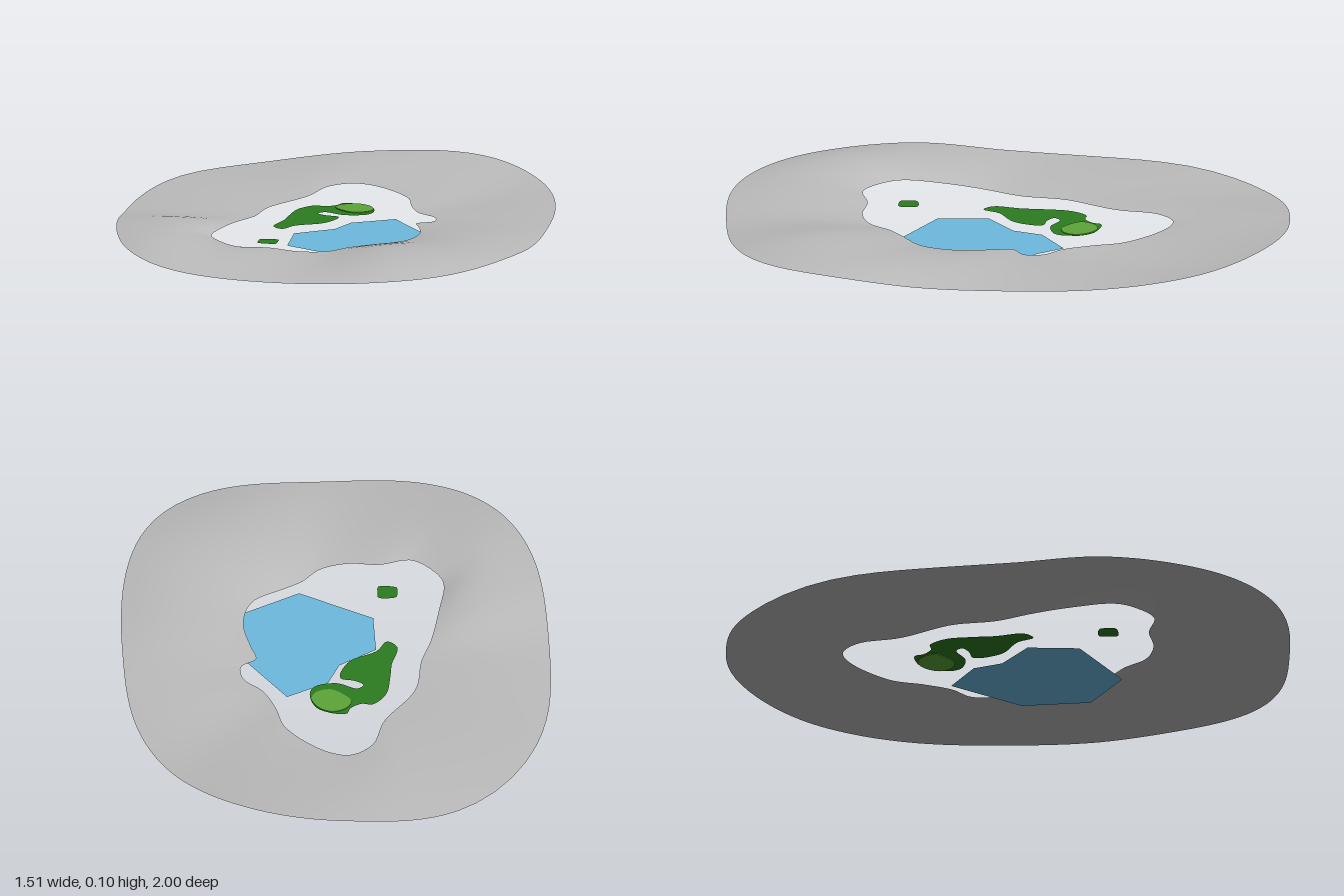
import * as THREE from 'three';

const material = (name, color) => {
  const m = new THREE.MeshStandardMaterial({ color, side: THREE.DoubleSide });
  m.name = name;
  return m;
};

// Closed smooth outline through [x, z] points
const smooth = (points, n) => {
  const curve = new THREE.CatmullRomCurve3(points.map(([x, z]) => new THREE.Vector3(x, 0, z)), true);
  return curve.getPoints(n).slice(0, n).map(p => [p.x, p.z]);
};

// Flat patch lying in the ground plane; [x, z] outline
const toShape = points => new THREE.Shape(points.map(([x, z]) => new THREE.Vector2(x, -z)));
const patch = (name, points, y, mat) => {
  const mesh = new THREE.Mesh(new THREE.ShapeGeometry(toShape(points)).rotateX(-Math.PI / 2), mat);
  mesh.position.y = y;
  mesh.name = name;
  return mesh;
};

// Periodic cubic interpolation of a table of heights around the ring
const around = (table, angle) => {
  const n = table.length, t = ((angle / (2 * Math.PI)) * n + n) % n;
  const i = Math.floor(t), f = t - i;
  const [a, b, c, d] = [-1, 0, 1, 2].map(k => table[(i + k + n) % n]);
  return b + 0.5 * f * (c - a + f * (2 * a - 5 * b + 4 * c - d + f * (3 * (b - c) + d - a)));
};

const holeEdge = [
  [-0.02, -0.585], [0.07, -0.555], [0.2, -0.41], [0.23, -0.29], [0.27, -0.19], [0.335, -0.12],
  [0.34, -0.05], [0.285, -0.01], [0.3, 0.06], [0.32, 0.19], [0.28, 0.31], [0.165, 0.38],
  [0.1, 0.42], [0.03, 0.49], [-0.07, 0.515], [-0.18, 0.495], [-0.29, 0.51], [-0.36, 0.45],
  [-0.4, 0.37], [-0.375, 0.21], [-0.34, 0.06], [-0.3, -0.05], [-0.27, -0.21], [-0.15, -0.39],
  [-0.1, -0.53],
];

// Heights in equal angular steps from +x, turning towards +z
const innerHeights = [0.033, 0.045, 0.043, 0.058, 0.033, 0.025, 0.03, 0.025];
const middleHeights = [
  0.04, 0.062, 0.08, 0.088, 0.052, 0.07, 0.095, 0.082,
  0.043, 0.033, 0.03, 0.03, 0.045, 0.04, 0.022, 0.03,
];
const rimHeights = [
  0.036, 0.045, 0.068, 0.058, 0.045, 0.055, 0.075, 0.08,
  0.047, 0.027, 0.024, 0.017, 0.05, 0.07, 0.048, 0.035,
];

// Wavy ring of ground between the hole edge and an oval rim
function groundRing(mat) {
  const N = 144, M = 10, pos = [], index = [];
  for (const [x, z] of smooth(holeEdge, N)) {
    const angle = Math.atan2(z, x), r0 = Math.hypot(x, z);
    const c = Math.cos(angle), s = Math.sin(angle);
    const p = 2.7 + 0.28 * s; // squarer towards the front
    const r1 = Math.pow(Math.pow(Math.abs(c) / 0.757, p) + Math.pow(Math.abs(s), p), -1 / p);
    const [a, m, b] = [innerHeights, middleHeights, rimHeights].map(t => around(t, angle));
    for (let j = 0; j <= M; j++) {
      const t = j / M, r = r0 + (r1 - r0) * t;
      const y = a * (1 - t) * (1 - 2 * t) + m * 4 * t * (1 - t) + b * t * (2 * t - 1);
      pos.push(c * r, y, s * r);
    }
  }
  for (let i = 0; i < N; i++) {
    for (let j = 0; j < M; j++) {
      const a = i * (M + 1) + j, b = ((i + 1) % N) * (M + 1) + j;
      index.push(a, b + 1, a + 1, a, b, b + 1);
    }
  }
  const geometry = new THREE.BufferGeometry();
  geometry.setAttribute('position', new THREE.Float32BufferAttribute(pos, 3));
  geometry.setIndex(index);
  geometry.computeVertexNormals();
  const mesh = new THREE.Mesh(geometry, mat);
  mesh.name = 'groundRing';
  return mesh;
}

export function createModel() {
  const group = new THREE.Group();
  const stone = material('stone grey', 0xbcbcbc);
  const water = material('water blue', 0x6cbade);
  const darkGreen = material('dark green', 0x2c7d20);
  const lightGreen = material('light green', 0x5da537);

  group.add(groundRing(stone));

  // Angular lake at the lowest level, tucked under the ring on the left side
  group.add(patch('lake', [
    [-0.145, 0.065], [-0.01, -0.02], [0.035, -0.12], [0.185, -0.195],
    [0.345, 0.06], [0.31, 0.305], [0.11, 0.41], [-0.145, 0.25],
  ], 0, water));

  // Curved woodland with a notch
  group.add(patch('woodland', smooth([
    [-0.075, -0.275], [-0.115, -0.28], [-0.165, -0.225], [-0.185, -0.13], [-0.195, -0.05],
    [-0.22, 0.05], [-0.185, 0.085], [-0.145, 0.03], [-0.05, -0.02], [-0.008, -0.1],
    [-0.012, -0.125], [-0.06, -0.14], [-0.088, -0.165], [-0.065, -0.185], [0.005, -0.15],
    [0.085, -0.165], [0.105, -0.21], [0.085, -0.29], [0.03, -0.325], [-0.02, -0.33],
    [-0.035, -0.3],
  ], 105), 0.02, darkGreen));

  // Small rounded thicket
  group.add(patch('thicket', smooth([
    [-0.23, 0.32], [-0.2, 0.314], [-0.167, 0.32], [-0.165, 0.35], [-0.17, 0.384],
    [-0.2, 0.386], [-0.235, 0.375], [-0.236, 0.35],
  ], 32), 0.038, darkGreen));

  // Thin light clearing, showing on both faces of the woodland
  const outline = smooth([
    [-0.04, -0.26], [-0.02, -0.3], [0.03, -0.318], [0.075, -0.295], [0.1, -0.24],
    [0.08, -0.2], [0.03, -0.188], [-0.01, -0.215],
  ], 40);
  const clearing = new THREE.Mesh(
    new THREE.ExtrudeGeometry(toShape(outline), { depth: 0.006, bevelEnabled: false }).rotateX(-Math.PI / 2),
    lightGreen);
  clearing.position.y = 0.017;
  clearing.name = 'clearing';
  group.add(clearing);

  return group;
}
